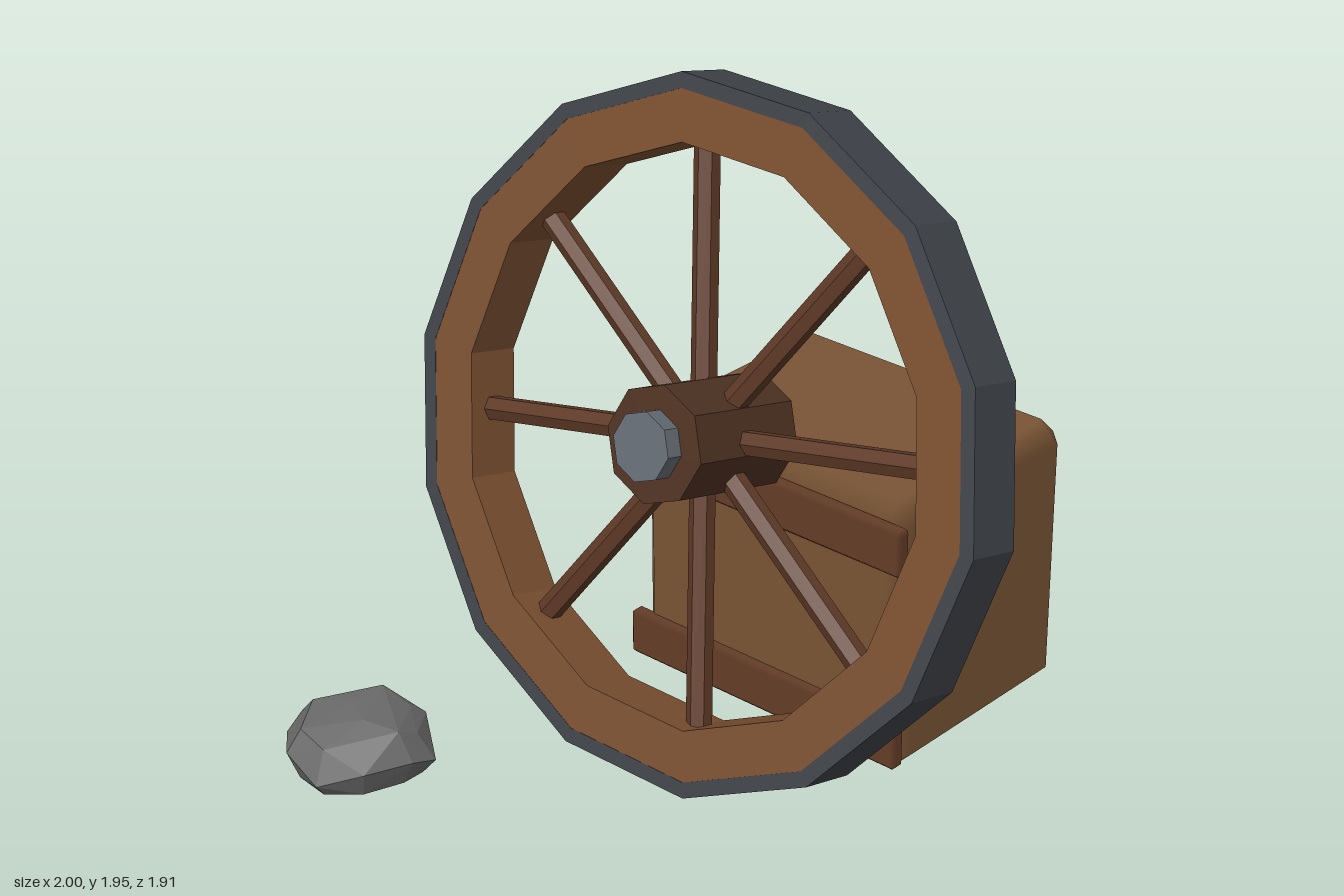
import * as THREE from 'three';
import { ConvexGeometry } from 'three/addons/geometries/ConvexGeometry.js';

const paint = (color, flatShading = true) => new THREE.MeshStandardMaterial({ color, flatShading });
const rimWood = paint(0x7a4f30), tyreIron = paint(0x3f4349), hubWood = paint(0x4e3222);
const spokeWood = paint(0x5f3a27), axleIron = paint(0x646b73), stone = paint(0x6c6c6c);
const crateWood = paint(0x7a5535, false), strapWood = paint(0x653d28, false);

function add(parent, name, geometry, material, x = 0, y = 0, z = 0) {
  const mesh = new THREE.Mesh(geometry, material);
  mesh.name = name;
  mesh.position.set(x, y, z);
  parent.add(mesh);
  return mesh;
}

// Square-section ring with 14 straight sides, axis along z
function ring(inner, outer, depth) {
  const h = depth / 2;
  const profile = [[inner, -h], [outer, -h], [outer, h], [inner, h], [inner, -h]]
    .map(([r, y]) => new THREE.Vector2(r, y));
  return new THREE.LatheGeometry(profile, 14, Math.PI / 2).rotateX(Math.PI / 2);
}

// Box with chamfered edges; every corner keeps its main face's normal, so chamfers shade softly
function chamferBox(w, h, d, c) {
  const half = [w / 2, h / 2, d / 2], points = [];
  for (const sx of [-1, 1]) for (const sy of [-1, 1]) for (const sz of [-1, 1]) {
    for (let axis = 0; axis < 3; axis++) {
      const p = [sx, sy, sz].map((s, i) => s * (half[i] - (i === axis ? 0 : c)));
      points.push(new THREE.Vector3(...p));
    }
  }
  const geometry = new ConvexGeometry(points);
  const pos = geometry.attributes.position, normal = geometry.attributes.normal;
  for (let i = 0; i < pos.count; i++) {
    const p = [pos.getX(i), pos.getY(i), pos.getZ(i)];
    normal.setXYZ(i, ...p.map((v, k) => (Math.abs(Math.abs(v) - half[k]) < 1e-4 ? Math.sign(v) : 0)));
  }
  return geometry;
}

function createWheel() {
  const wheel = new THREE.Group();
  wheel.name = 'wheel';
  add(wheel, 'ironTyre', ring(0.955, 1, 0.18), tyreIron);
  add(wheel, 'woodenRim', ring(0.81, 0.956, 0.178), rimWood);
  add(wheel, 'hub', new THREE.CylinderGeometry(0.17, 0.17, 0.415, 8).rotateX(Math.PI / 2), hubWood);
  add(wheel, 'axle', new THREE.CylinderGeometry(0.1, 0.1, 0.525, 8).rotateX(Math.PI / 2), axleIron);
  // Eight spokes from the hub into the rim
  const spoke = new THREE.CylinderGeometry(0.037, 0.037, 0.73, 6).translate(0, 0.465, 0);
  for (let i = 0; i < 8; i++) {
    add(wheel, 'spoke', spoke, spokeWood).rotation.z = 0.205 + i * Math.PI / 4;
  }
  // Leaning back
  wheel.position.y = 0.985;
  wheel.rotation.x = -0.26;
  return wheel;
}

function createCrate() {
  const crate = new THREE.Group();
  crate.name = 'crate';
  add(crate, 'crateBody', chamferBox(0.98, 0.86, 0.76, 0.06), crateWood, 0.06, 0.43, -0.58);
  for (const y of [0.12, 0.74]) {
    add(crate, 'crateStrap', chamferBox(1, 0.145, 0.05, 0.013), strapWood, 0.06, y, -0.195);
  }
  return crate;
}

// Rock: plan outline repeated at several heights, shrunk and lightly bumped
function createRock() {
  const outline = [[-0.21, 0.01], [-0.17, -0.14], [-0.07, -0.21], [0.06, -0.22], [0.21, -0.11],
    [0.21, -0.02], [0.16, 0.12], [0.06, 0.21], [-0.08, 0.19], [-0.19, 0.09]];
  const layers = [[0, 0.83], [0.07, 1], [0.14, 0.78]];
  const points = [new THREE.Vector3(0.06, 0.178, 0.02), new THREE.Vector3(-0.04, 0.17, -0.04)];
  for (const [y, scale] of layers) {
    outline.forEach(([x, z], i) => {
      const bump = y ? 0.025 * Math.sin(i * 2.3 + y * 20) : 0;
      points.push(new THREE.Vector3(x * scale, y + bump, z * scale));
    });
  }
  const rock = new THREE.Mesh(new ConvexGeometry(points), stone);
  rock.name = 'rock';
  rock.position.set(-0.66, 0, 0.74);
  return rock;
}

export function createModel() {
  const model = new THREE.Group();
  model.name = 'wheelCrateAndRock';
  model.add(createWheel(), createCrate(), createRock());
  return model;
}
